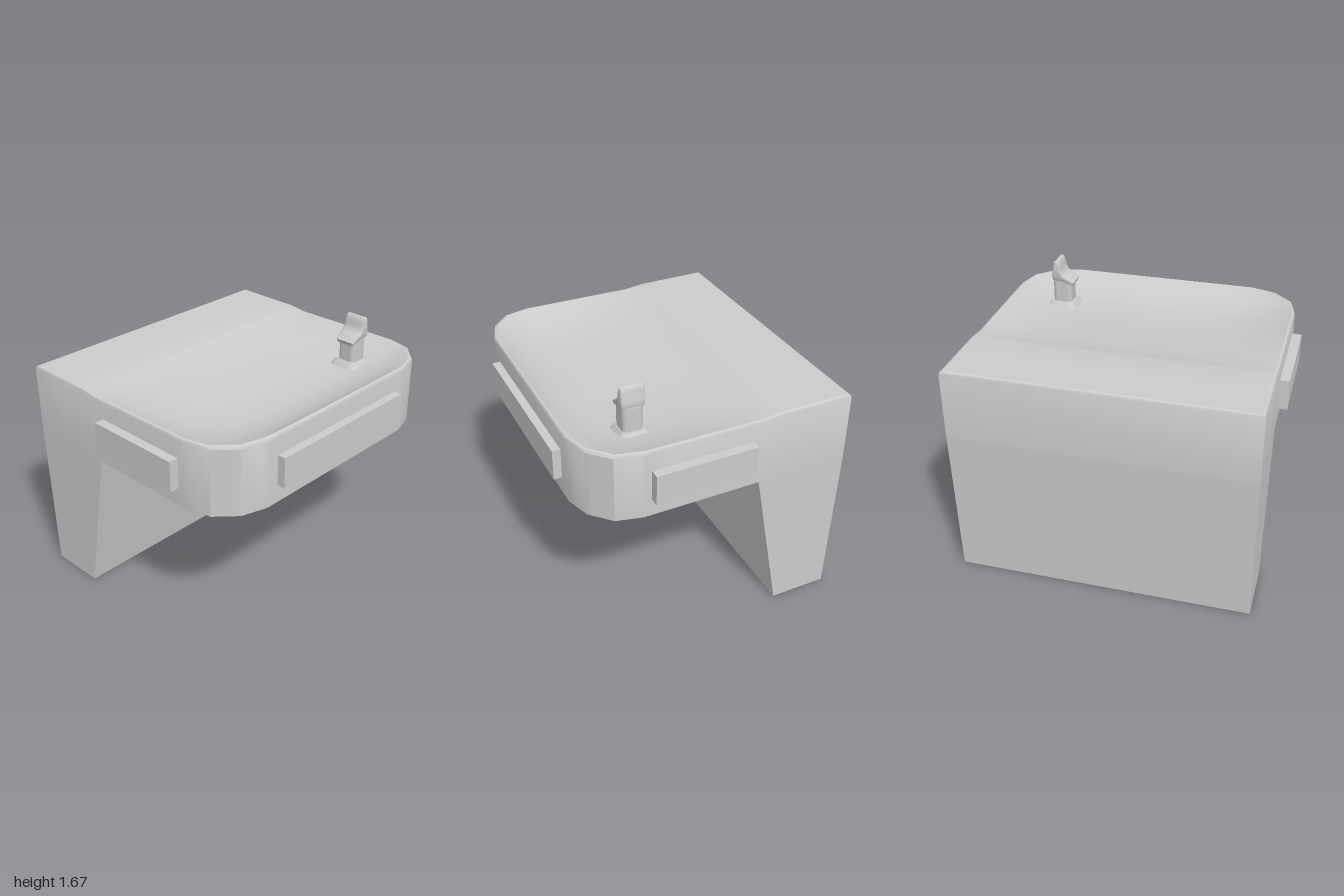
import * as THREE from 'three';
import { toCreasedNormals } from 'three/addons/utils/BufferGeometryUtils.js';
import { RoundedBoxGeometry } from 'three/addons/geometries/RoundedBoxGeometry.js';

const material = new THREE.MeshStandardMaterial({ color: 0xcccccc });
const smooth = THREE.MathUtils.smoothstep;

// Half width of the cabinet at each depth, back to front: [z, halfWidth]
const ROWS = [
  [-0.855, 0.94], [-0.6, 0.94], [-0.4, 0.94], [-0.34, 0.94], [-0.27, 0.94], [-0.15, 0.94],
  [0, 0.94], [0.12, 0.94], [0.24, 0.94], [0.36, 0.94], [0.48, 0.94], [0.56, 0.92], [0.64, 0.9],
  [0.7, 0.837], [0.73, 0.806], [0.755, 0.78], [0.785, 0.684], [0.804, 0.62],
];
const FRONT = 0.804, BASIN_BACK = -0.4, BOTTOM = 0.997;

// Height of the rim: level at the back, dipping where the basin starts, rising to the front
const rim = (z) => (z < -0.27
  ? 1.44 - 0.014 * smooth(z, -0.4, -0.27)
  : 1.426 + 0.012 * (z + 0.27) / 1.07);

// Depth of the bowl below the rim; u runs from -1 to 1 across the width
function bowl(u, z) {
  const t = Math.max(0, (z - BASIN_BACK) / (FRONT - BASIN_BACK));
  return 0.13 * (1 - (1 - t) ** 1.5) * (1 - t ** 6) * (1 - u ** 4);
}

// Pull an outline point inwards by a small distance
const inset = (x, z, d) => [x * (1 - d / 0.94), -0.0275 + (z + 0.0275) * (1 - d / 0.83)];

// Closed outline as [x, z] pairs: down the left side, back up the right
const OUTLINE = [...ROWS.map(([z, w]) => [w, z]), ...[...ROWS].reverse().map(([z, w]) => [-w, z])];

function geometryFrom(positions, index) {
  const g = new THREE.BufferGeometry();
  g.setAttribute('position', new THREE.Float32BufferAttribute(positions, 3));
  g.setIndex(index);
  return toCreasedNormals(g, 0.5);
}

// Cabinet wall: stacked outline loops with a rounded lip
function wallGeometry() {
  const layers = [
    [0, () => BOTTOM], [0, (z) => rim(z) - 0.018], [0.006, (z) => rim(z) - 0.005], [0.018, rim],
  ];
  const pos = [], idx = [], n = OUTLINE.length;
  layers.forEach(([d, height], l) => OUTLINE.forEach(([x, z], i) => {
    const [px, pz] = inset(x, z, d);
    pos.push(px, height(z), pz);
    if (l === 0) return;
    const a = (l - 1) * n + i, b = (l - 1) * n + (i + 1) % n;
    idx.push(a, a + n, b + n, a, b + n, b);
  }));
  return geometryFrom(pos, idx);
}

// Top: flat shelf at the back running into a dished basin
function topGeometry() {
  const cols = 36, pos = [], idx = [];
  ROWS.forEach(([z, w], r) => {
    for (let c = 0; c <= cols; c++) {
      const u = (c / cols) * 2 - 1;
      const [x, pz] = inset(u * w, z, 0.018);
      pos.push(x, rim(z) - bowl(u, z), pz);
      if (r === 0 || c === cols) continue;
      const a = (r - 1) * (cols + 1) + c, b = a + cols + 1;
      idx.push(a, b, b + 1, a, b + 1, a + 1);
    }
  });
  return geometryFrom(pos, idx);
}

// Flat underside of the cabinet
function undersideGeometry() {
  const shape = new THREE.Shape(OUTLINE.map(([x, z]) => new THREE.Vector2(x, z)));
  return new THREE.ShapeGeometry(shape).rotateX(Math.PI / 2).translate(0, BOTTOM, 0);
}

// Wedge-shaped wall pedestal, side profile extruded across the width
function pedestalGeometry() {
  const profile = [[0.26, BOTTOM], [0.45, 0], [0.82, 0], [0.855, BOTTOM]].map((p) => new THREE.Vector2(...p));
  return new THREE.ExtrudeGeometry(new THREE.Shape(profile), { depth: 1.88, bevelEnabled: false })
    .translate(0, 0, -0.94).rotateY(Math.PI / 2);
}

// Rounded square, tapered towards the top
function flangeGeometry() {
  const s = new THREE.Shape();
  const h = 0.09, r = 0.045;
  s.moveTo(-h + r, -h).lineTo(h - r, -h).quadraticCurveTo(h, -h, h, -h + r)
    .lineTo(h, h - r).quadraticCurveTo(h, h, h - r, h)
    .lineTo(-h + r, h).quadraticCurveTo(-h, h, -h, h - r)
    .lineTo(-h, -h + r).quadraticCurveTo(-h, -h, -h + r, -h);
  const g = new THREE.ExtrudeGeometry(s, { depth: 0.045, bevelEnabled: false, curveSegments: 6 })
    .rotateX(-Math.PI / 2);
  const p = g.attributes.position;
  for (let i = 0; i < p.count; i++) {
    const k = p.getY(i) > 0.02 ? 0.8 : 1.17;
    p.setXYZ(i, p.getX(i) * k, p.getY(i), p.getZ(i) * k);
  }
  return toCreasedNormals(g, 0.5);
}

// Spout head with a low beak and a raised guard, narrowing towards its foot
function spoutGeometry() {
  const s = new THREE.Shape();
  s.moveTo(0.533, 1.517);
  s.lineTo(0.53, 1.524);
  s.lineTo(0.592, 1.563);
  s.quadraticCurveTo(0.616, 1.585, 0.621, 1.63);
  s.quadraticCurveTo(0.632, 1.672, 0.642, 1.655);
  s.quadraticCurveTo(0.65, 1.6, 0.657, 1.57);
  s.lineTo(0.652, 1.545);
  s.lineTo(0.6, 1.54);
  s.closePath();
  const g = new THREE.ExtrudeGeometry(s, {
    depth: 0.12, bevelThickness: 0.014, bevelSize: 0.011, bevelSegments: 3, curveSegments: 6,
  }).translate(0, 0, -0.06);
  const p = g.attributes.position;
  for (let i = 0; i < p.count; i++) {
    p.setZ(i, p.getZ(i) * (0.86 + 0.14 * smooth(p.getY(i), 1.5, 1.57)));
  }
  return toCreasedNormals(g, 0.8);
}

export function createModel() {
  const model = new THREE.Group();
  model.name = 'drinkingFountain';
  const add = (name, geometry, x = 0, y = 0, z = 0, parent = model) => {
    const mesh = new THREE.Mesh(geometry, material);
    mesh.name = name;
    mesh.position.set(x, y, z);
    parent.add(mesh);
  };

  add('pedestal', pedestalGeometry());
  add('cabinetWall', wallGeometry());
  add('basinTop', topGeometry());
  add('cabinetUnderside', undersideGeometry());

  // Push pads on the front and both sides
  add('frontPushPad', new THREE.BoxGeometry(1.076, 0.194, 0.07), 0, 1.205, 0.82);
  for (const [name, side] of [['leftPushPad', 1], ['rightPushPad', -1]]) {
    add(name, new THREE.BoxGeometry(0.08, 0.194, 0.64), side * 0.96, 1.205, 0.112);
  }

  // Bubbler standing on the basin floor
  const bubbler = new THREE.Group();
  bubbler.name = 'bubbler';
  add('flange', flangeGeometry(), 0.605, 1.342, 0.405, bubbler);
  add('stem', new RoundedBoxGeometry(0.125, 0.21, 0.125, 4, 0.03), 0.602, 1.455, 0.41, bubbler);
  add('spout', spoutGeometry(), 0, 0, 0.41, bubbler);
  model.add(bubbler);
  return model;
}
